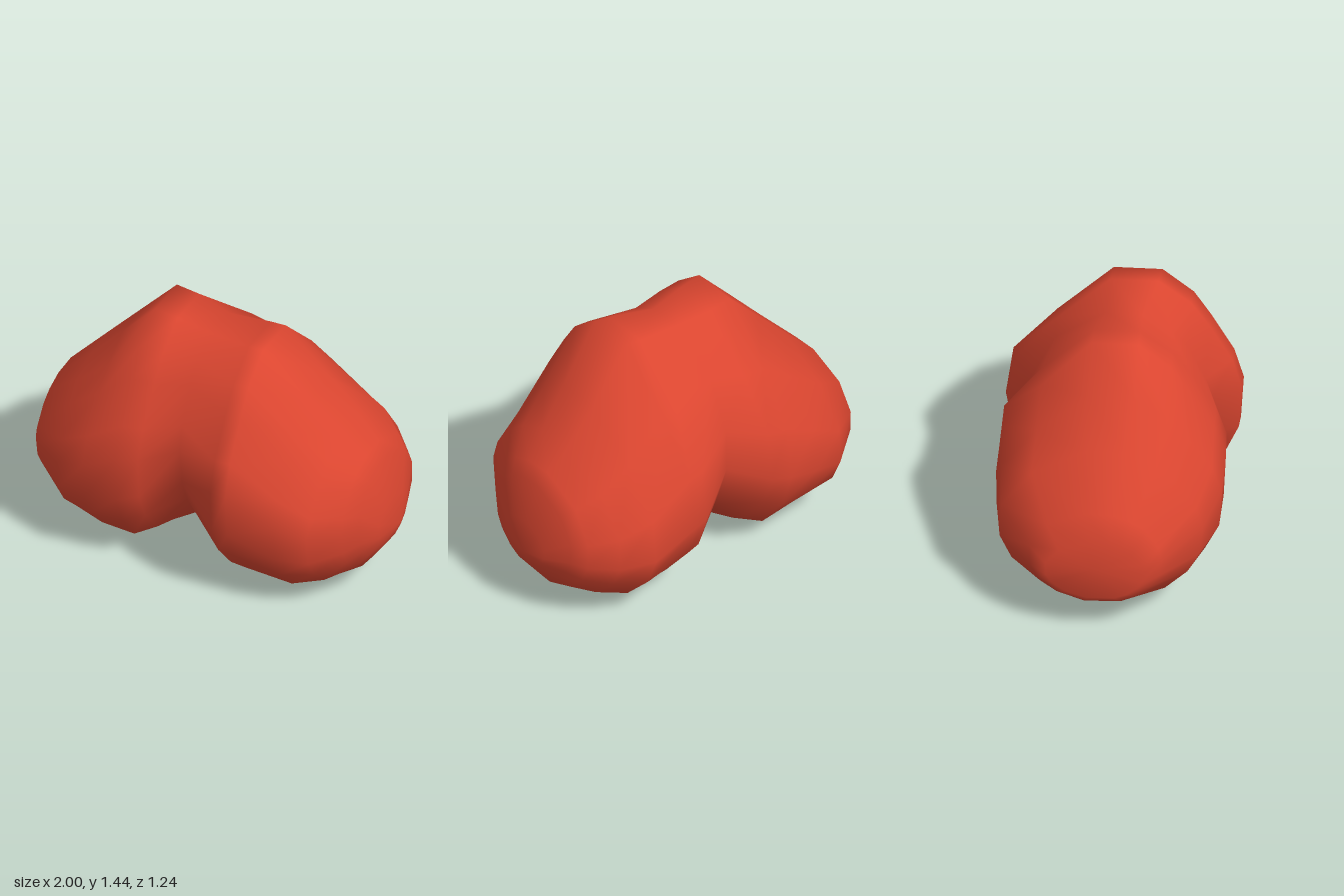
import * as THREE from 'three';

// Egg outline of a lobe as (z, y) from the top round by the front
const EGG = [
  [0.24, 1], [0.52, 0.81], [0.68, 0.61], [0.9, 0.3], [1, 0.05], [0.98, -0.32],
  [0.86, -0.57], [0.63, -0.82], [0.34, -0.92], [-0.21, -1], [-0.61, -0.83],
  [-0.89, -0.53], [-1, -0.24], [-0.95, 0.18], [-0.61, 0.57], [-0.17, 0.99],
];
const SIDES = EGG.length;

// Cross-sections from side to side:
// x, bottom, top, back z, front z, egg share (0 is an ellipse), forward lean of the top
const SECTIONS = [
  [-0.988, 0.26, 0.62, -0.28, 0.24, 0, 0],
  [-0.94, 0.2, 0.78, -0.37, 0.33, 0, 0],
  [-0.72, 0.06, 1.02, -0.55, 0.52, 0.4, 0],
  [-0.53, 0.03, 1.23, -0.58, 0.6, 0.8, 0],
  [-0.34, 0.005, 1.44, -0.6, 0.6, 1, 0],
  [-0.21, 0.1, 1.425, -0.6, 0.59, 0.9, 0],
  [-0.02, 0.23, 1.4, -0.47, 0.48, 0.1, 0.02],
  [0.23, 0.03, 1.425, -0.6, 0.62, 0.9, 0.04],
  [0.32, 0.025, 1.435, -0.62, 0.62, 1, 0.05],
  [0.57, 0.005, 1.165, -0.6, 0.57, 0.8, 0.02],
  [0.74, 0.08, 0.99, -0.52, 0.52, 0.3, 0],
  [0.86, 0.15, 0.865, -0.4, 0.36, 0, 0],
  [0.92, 0.23, 0.8, -0.33, 0.28, 0, 0],
  [0.97, 0.31, 0.57, -0.17, 0.15, 0, 0],
];

// Skin the rings and close both ends with a fan
function loftLobes() {
  const pos = [], index = [];
  for (const [x, y0, y1, z0, z1, egg, lean] of SECTIONS) {
    for (const [ez, ey] of EGG) {
      const scale = egg + (1 - egg) / Math.hypot(ez, ey);
      const c = ey * scale, s = ez * scale;
      const z = s * (s > 0 ? z1 : -z0) + lean * Math.max(0, c);
      pos.push(x, (y0 + y1) / 2 + c * (y1 - y0) / 2, z);
    }
  }
  const rings = SECTIONS.length;
  const start = rings * SIDES, end = start + 1;
  pos.push(-1, 0.46, -0.02, 1, 0.4, -0.04);
  for (let j = 0; j < SIDES; j++) {
    const n = (j + 1) % SIDES;
    for (let i = 0; i < rings - 1; i++) {
      const p = i * SIDES + j, q = i * SIDES + n;
      index.push(p, q, p + SIDES, q, q + SIDES, p + SIDES);
    }
    const last = (rings - 1) * SIDES;
    index.push(start, n, j, end, last + j, last + n);
  }
  const geo = new THREE.BufferGeometry();
  geo.setAttribute('position', new THREE.Float32BufferAttribute(pos, 3));
  geo.setIndex(index);
  geo.computeVertexNormals();
  return geo;
}

export function createModel() {
  const group = new THREE.Group();
  group.name = 'twinLobedForm';
  const red = new THREE.MeshStandardMaterial({ color: 0xdb4630 });
  red.name = 'warm red';
  const body = new THREE.Mesh(loftLobes(), red);
  body.name = 'twinLobes';
  group.add(body);
  return group;
}
